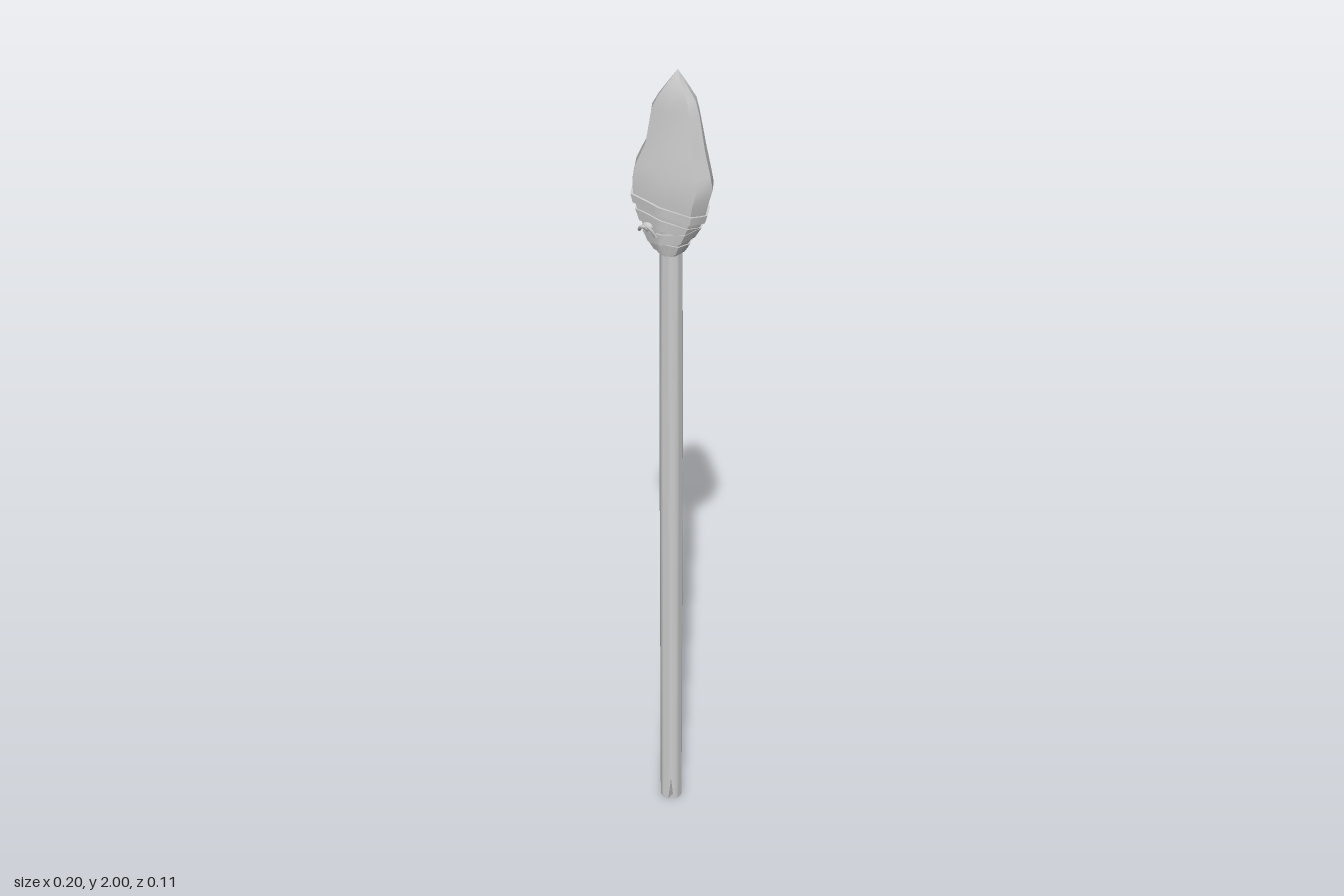
import * as THREE from 'three';
import { toCreasedNormals, mergeVertices } from 'three/addons/utils/BufferGeometryUtils.js';

const grey = () => new THREE.MeshStandardMaterial({ color: 0xcccccc, side: THREE.DoubleSide });

// Head cross-sections: [y, left edge x, right edge x, back z, front z]
const ROWS = [
  [1.575, -0.025, 0.025, -0.032, 0.032],
  [1.61, -0.052, 0.045, -0.04, 0.04],
  [1.665, -0.082, 0.078, -0.05, 0.044],
  [1.71, -0.096, 0.09, -0.053, 0.047],
  [1.745, -0.098, 0.1, -0.052, 0.046],
  [1.775, -0.091, 0.094, -0.049, 0.044],
  [1.83, -0.064, 0.08, -0.042, 0.036],
  [1.91, -0.05, 0.066, -0.03, 0.026],
  [1.94, -0.032, 0.057, -0.026, 0.024],
  [1.975, -0.006, 0.032, -0.014, 0.014],
  [2.0, 0.013, 0.015, -0.001, 0.001],
];
// Flattened octagon, counter-clockwise seen from above
const OCT = [[1, 0], [0.8, -0.76], [0, -1], [-0.8, -0.76], [-1, 0], [-0.8, 0.76], [0, 1], [0.8, 0.76]];

// Surface point of the head at octagon parameter u (0..8) and height y
function headPoint(u, y, grow = 0) {
  let i = 0;
  while (i < ROWS.length - 2 && ROWS[i + 1][0] < y) i++;
  const t = (y - ROWS[i][0]) / (ROWS[i + 1][0] - ROWS[i][0]);
  const [, l, r, b, f] = ROWS[i].map((v, k) => THREE.MathUtils.lerp(v, ROWS[i + 1][k], t));
  const a = OCT[Math.floor(u) % 8], c = OCT[(Math.floor(u) + 1) % 8], w = u - Math.floor(u);
  const ox = a[0] + (c[0] - a[0]) * w, oz = a[1] + (c[1] - a[1]) * w;
  return [
    (l + r) / 2 + ox * ((r - l) / 2 + grow), y,
    (f + b) / 2 + oz * ((f - b) / 2 + grow),
  ];
}

// Skin a stack of point rings; closed rings wrap round
function loft(rings, closed = true) {
  const n = rings[0].length, index = [];
  for (let j = 0; j < rings.length - 1; j++) {
    for (let i = 0; i < (closed ? n : n - 1); i++) {
      const k = (i + 1) % n, a = j * n + i, b = j * n + k;
      index.push(a, b, b + n, a, b + n, a + n);
    }
  }
  const g = new THREE.BufferGeometry();
  g.setAttribute('position', new THREE.Float32BufferAttribute(rings.flat(2), 3));
  g.setIndex(index);
  return toCreasedNormals(mergeVertices(g, 1e-5), 0.6);
}

function add(group, name, geometry) {
  const mesh = new THREE.Mesh(geometry, grey());
  mesh.name = name;
  group.add(mesh);
  return mesh;
}

// Height of the nock cut in the foot of the shaft
const nock = (x) => 0.07 * Math.max(0, 1 - Math.abs(x - 0.0115) / 0.0055);

export function createModel() {
  const group = new THREE.Group();
  group.name = 'spear';

  // Shaft, with its foot cut up into a V through the whole thickness
  const R = 0.027, OFF = -0.002, N = 24;
  const ring = (y, r) => Array.from({ length: N }, (_, i) => {
    const a = (i / N) * Math.PI * 2, x = OFF + r * Math.sin(a);
    return [x, y === 0 ? nock(x) : y, r * Math.cos(a)];
  });
  add(group, 'shaft', loft([ring(0, R), ring(0.09, R), ring(1.2, R), ring(1.6, 0.025)]));
  const sides = [-1, 1].map((s) => Array.from({ length: N / 2 + 1 }, (_, i) => {
    const a = (i / N) * Math.PI * 2, x = OFF - R * Math.cos(a);
    return [x, nock(x), s * R * Math.sin(a)];
  }));
  add(group, 'shaftFoot', loft(sides, false));

  // Stone head
  const head = ROWS.map(([y]) => OCT.map((_, i) => headPoint(i, y)));
  const base = OCT.map(() => [0, 1.575, 0]);
  add(group, 'head', loft([base, ...head]));

  // Binding straps that follow the head, each tilted its own way
  // [height, side tilt, front tilt, width]
  const straps = [[1.592, 0, 0.004, 0.022], [1.625, 0.01, -0.006, 0.026],
    [1.648, -0.012, 0.006, 0.026], [1.685, -0.014, 0.004, 0.02]];
  straps.forEach(([y, tx, tz, w], s) => {
    const edge = (dy, grow) => Array.from({ length: 32 }, (_, i) => {
      const u = i / 4, a = (u / 8) * Math.PI * 2;
      const h = Math.max(1.575, y + tx * Math.cos(a) - tz * Math.sin(a) + dy);
      return headPoint(u, h, grow);
    });
    const g = 0.004 + (s % 2) * 0.0015;
    add(group, 'strap' + (s + 1),
      loft([edge(-w / 2, 0), edge(-w / 2, g), edge(w / 2, g), edge(w / 2, 0)]));
  });

  // Knot on the front with two loose ends
  const knot = add(group, 'knot', new THREE.SphereGeometry(0.012, 10, 8));
  knot.scale.set(1.2, 0.9, 0.6);
  knot.position.set(-0.032, 1.645, 0.048);
  [[-0.055, 1.632], [-0.012, 1.625]].forEach(([x, y], i) => {
    const curve = new THREE.CatmullRomCurve3([
      new THREE.Vector3(-0.032, 1.645, 0.05),
      new THREE.Vector3((x - 0.032) / 2, 1.645, 0.054),
      new THREE.Vector3(x, y, 0.046),
    ]);
    add(group, 'knotEnd' + (i + 1), new THREE.TubeGeometry(curve, 8, 0.004, 6));
  });

  return group;
}
